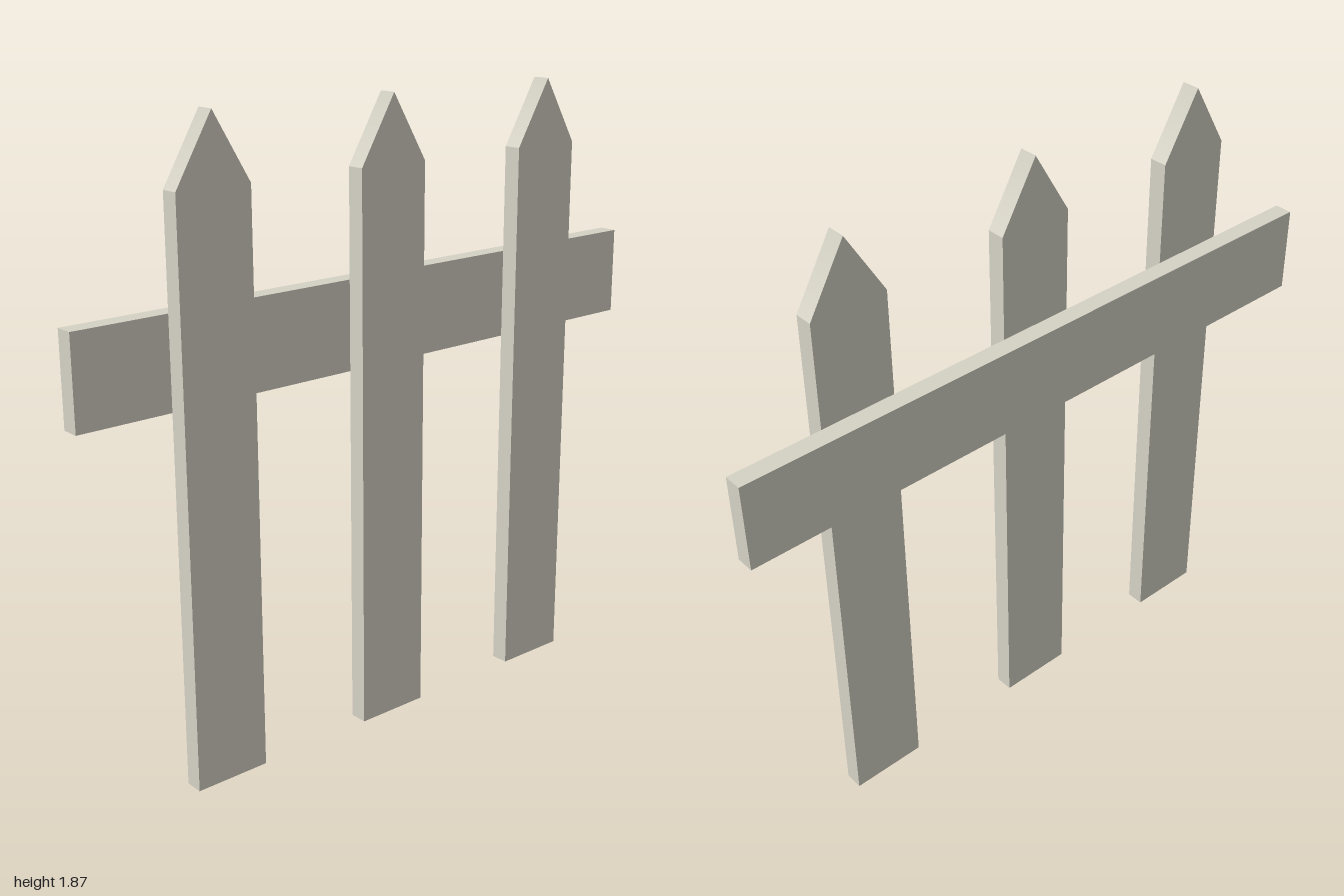
import * as THREE from 'three';

const THICK = 0.055;      // board thickness
const HALF = 0.115;       // half picket width
const SHOULDER = 1.67;    // where the point begins
const TIP = 1.865;

// Pointed board standing in the YZ plane, from x = 0 to x = THICK
function picketGeometry() {
  const shape = new THREE.Shape([
    new THREE.Vector2(-HALF, 0),
    new THREE.Vector2(HALF, 0),
    new THREE.Vector2(HALF, SHOULDER),
    new THREE.Vector2(0, TIP),
    new THREE.Vector2(-HALF, SHOULDER),
  ]);
  const geo = new THREE.ExtrudeGeometry(shape, { depth: THICK, bevelEnabled: false });
  geo.rotateY(-Math.PI / 2).translate(THICK, 0, 0);

  // Soften the ridge where the two slopes meet
  const pos = geo.attributes.position, nor = geo.attributes.normal;
  for (let i = 0; i < pos.count; i++) {
    if (pos.getY(i) > TIP - 0.001 && nor.getY(i) > 0.1) nor.setXYZ(i, 0, 1, 0);
  }
  return geo;
}

export function createModel() {
  const group = new THREE.Group();
  group.name = 'picketFence';

  const wood = new THREE.MeshStandardMaterial({ color: 0xd6d3c6 });
  wood.name = 'paleWood';

  // Three pickets
  const geo = picketGeometry();
  [['frontPicket', 0.6], ['middlePicket', 0], ['backPicket', -0.605]].forEach(([name, z]) => {
    const picket = new THREE.Mesh(geo, wood);
    picket.name = name;
    picket.position.z = z;
    group.add(picket);
  });

  // Crossbar behind the pickets
  const rail = new THREE.Mesh(new THREE.BoxGeometry(THICK, 0.265, 2), wood);
  rail.name = 'rail';
  rail.position.set(-THICK / 2, 1.2225, 0);
  group.add(rail);

  return group;
}
